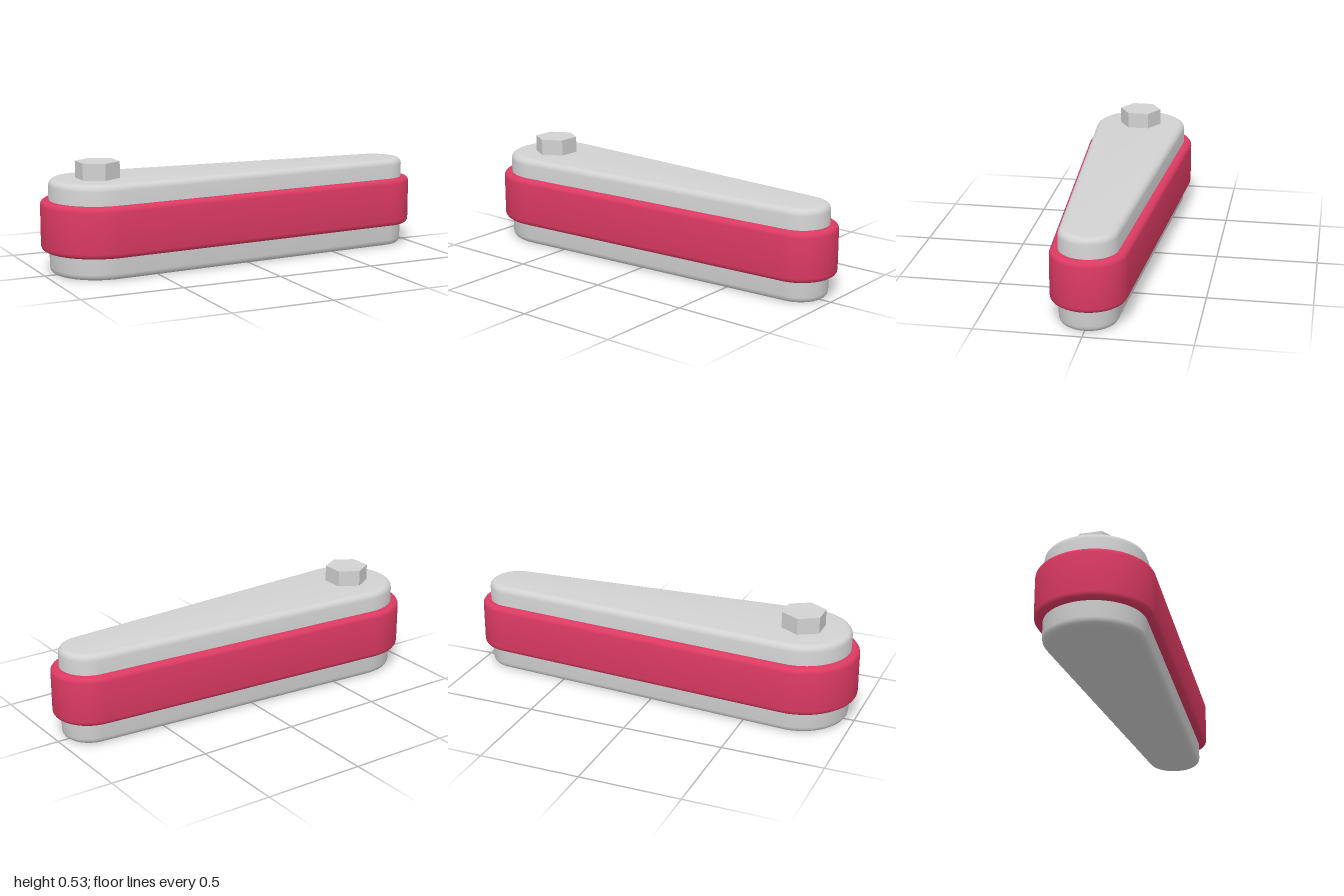
import * as THREE from 'three';
import { toCreasedNormals } from 'three/addons/utils/BufferGeometryUtils.js';

const BIG_X = -0.722, SMALL_X = 0.822;

// Tapered capsule outline: two circles joined by their tangent lines
function taperedOutline(bigR, smallR) {
  const a = Math.acos((bigR - smallR) / (SMALL_X - BIG_X));
  const shape = new THREE.Shape();
  shape.absarc(BIG_X, 0, bigR, a, Math.PI * 2 - a, false);
  shape.absarc(SMALL_X, 0, smallR, -a, a, false);
  shape.closePath();
  return shape;
}

// Upright slab with rounded rims, from y0 to y1
function taperedSlab(name, bigR, smallR, y0, y1, bevel, material) {
  const geometry = new THREE.ExtrudeGeometry(taperedOutline(bigR, smallR), {
    depth: y1 - y0 - bevel * 2,
    bevelEnabled: true,
    bevelThickness: bevel,
    bevelSize: bevel,
    bevelOffset: -bevel,
    bevelSegments: 4,
    curveSegments: 28,
  });
  geometry.rotateX(-Math.PI / 2);
  geometry.translate(0, y0 + bevel, 0);
  const mesh = new THREE.Mesh(toCreasedNormals(geometry, 0.5), material);
  mesh.name = name;
  return mesh;
}

export function createModel() {
  const grey = new THREE.MeshStandardMaterial({ color: 0xd2d2d2 });
  grey.name = 'light grey';
  const red = new THREE.MeshStandardMaterial({ color: 0xdc3a62 });
  red.name = 'crimson';

  const model = new THREE.Group();
  model.name = 'taperedArm';

  // Grey core and the wider red band around its middle
  model.add(taperedSlab('core', 0.238, 0.138, 0, 0.453, 0.03, grey));
  model.add(taperedSlab('band', 0.278, 0.178, 0.11, 0.355, 0.025, red));

  // Hexagonal bolt head on the wide end, corners pointing along z
  const bolt = new THREE.Mesh(
    toCreasedNormals(new THREE.CylinderGeometry(0.108, 0.108, 0.093, 6), 0.5), grey);
  bolt.name = 'boltHead';
  bolt.position.set(-0.725, 0.4875, 0);
  model.add(bolt);

  return model;
}
